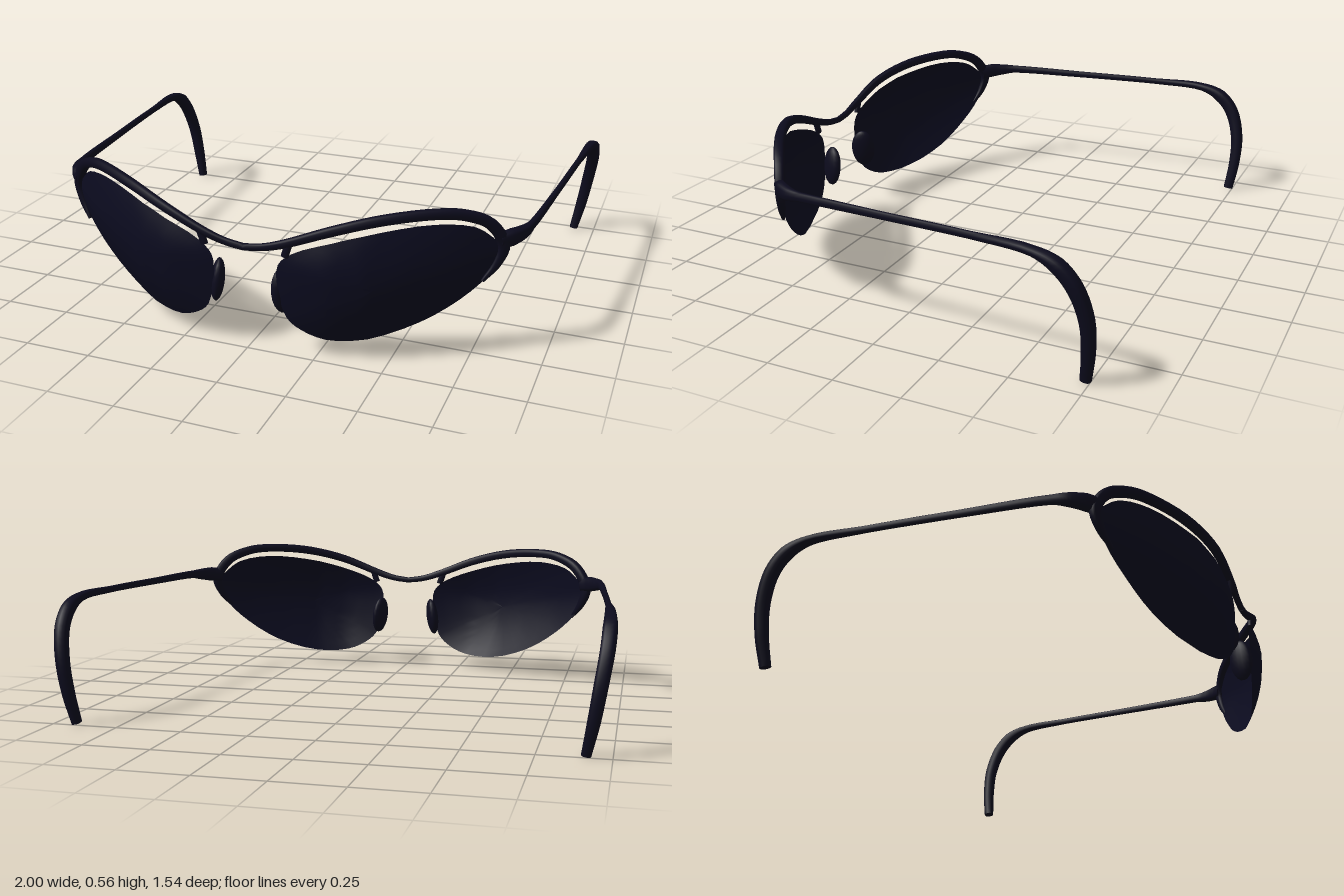
import * as THREE from 'three';

const frameMat = new THREE.MeshStandardMaterial({ name: 'dark frame', color: 0x0c0b1d });
const lensMat = new THREE.MeshStandardMaterial({ name: 'dark lens', color: 0x0b0b1f, side: THREE.DoubleSide });

const V = (x, y, z) => new THREE.Vector3(x, y, z);
// Squares off a circle slightly
const fuller = v => Math.sign(v) * Math.abs(v) ** 0.75;

// Sweeps a rounded section along rows of [x, y, z, halfWidth, halfHeight]; width lies along ref.
function sweep(rows, ref, steps, sides = 12) {
  const path = new THREE.CatmullRomCurve3(rows.map(r => V(r[0], r[1], r[2])), false, 'centripetal');
  const pos = [], idx = [];
  for (let i = 0; i <= steps; i++) {
    const t = i / steps, f = t * (rows.length - 1);
    const k = Math.min(Math.floor(f), rows.length - 2);
    const size = j => THREE.MathUtils.lerp(rows[k][j], rows[k + 1][j], f - k);
    const p = path.getPoint(t), tan = path.getTangent(t);
    const b = ref.clone().addScaledVector(tan, -ref.dot(tan)).normalize();
    const n = tan.clone().cross(b);
    for (let s = 0; s < sides; s++) {
      const a = s / sides * Math.PI * 2;
      const q = p.clone().addScaledVector(b, fuller(Math.cos(a)) * size(3))
        .addScaledVector(n, fuller(Math.sin(a)) * size(4));
      pos.push(q.x, q.y, q.z);
      if (i < steps) {
        const A = i * sides + s, B = i * sides + (s + 1) % sides;
        idx.push(A, B, A + sides, B, B + sides, A + sides);
      }
    }
  }
  // flat end caps with their own vertices
  for (const [ring, flip] of [[0, true], [steps, false]]) {
    const base = pos.length / 3;
    for (let s = 0; s < sides * 3; s++) pos.push(pos[ring * sides * 3 + s]);
    for (let s = 1; s < sides - 1; s++) {
      idx.push(base, base + (flip ? s + 1 : s), base + (flip ? s : s + 1));
    }
  }
  return finish(pos, idx);
}

function finish(pos, idx) {
  const g = new THREE.BufferGeometry();
  g.setAttribute('position', new THREE.Float32BufferAttribute(pos, 3));
  g.setIndex(idx);
  g.computeVertexNormals();
  return g;
}

// Mirrored copy across x = 0 with the corner order restored
function mirrored(geo) {
  const g = geo.clone().scale(-1, 1, 1), ix = g.index.array;
  for (let i = 0; i < ix.length; i += 3) [ix[i + 1], ix[i + 2]] = [ix[i + 2], ix[i + 1]];
  return g;
}

// Wrap of the front: depth of the brow line at a given x
const WRAP = [[0, 0.755], [0.15, 0.755], [0.3, 0.74], [0.42, 0.703], [0.55, 0.637],
  [0.63, 0.592], [0.7, 0.55], [0.8, 0.482], [0.86, 0.445]];
function wrapZ(x) {
  let k = 0;
  while (k < WRAP.length - 2 && x > WRAP[k + 1][0]) k++;
  const [a, b] = [WRAP[k], WRAP[k + 1]];
  return THREE.MathUtils.lerp(a[1], b[1], (x - a[0]) / (b[0] - a[0]));
}

// Lens: rings from the middle out to a rounded outline, bulging forward and curling back at the bottom
function lensGeometry() {
  const outline = [[0.79, 0.455], [0.74, 0.492], [0.63, 0.51], [0.47, 0.492], [0.31, 0.45], [0.175, 0.397],
    [0.125, 0.35], [0.12, 0.27], [0.15, 0.147], [0.2, 0.1], [0.28, 0.067], [0.417, 0.067],
    [0.58, 0.125], [0.71, 0.215], [0.79, 0.3], [0.835, 0.39]];
  const curve = new THREE.CatmullRomCurve3(outline.map(([x, y]) => V(x, y, 0)), true, 'centripetal');
  const n = 48, rings = 8, cx = 0.45, cy = 0.29, pos = [], idx = [];
  for (let r = 0; r <= rings; r++) {
    for (let i = 0; i < n; i++) {
      const p = curve.getPoint(i / n), f = Math.max(r / rings, 0.001);
      const x = cx + (p.x - cx) * f, y = cy + (p.y - cy) * f;
      pos.push(x, y, wrapZ(x) + 0.034 * (1 - f * f) - 1.1 * x * Math.max(0, 0.4 - y) ** 2);
      if (r < rings) {
        const A = r * n + i, B = r * n + (i + 1) % n;
        idx.push(A, A + n, B, B, A + n, B + n);
      }
    }
  }
  return finish(pos, idx);
}

export function createModel() {
  const group = new THREE.Group();
  group.name = 'sunglasses';
  const pair = (name, geo, mat) => {
    [['left', geo], ['right', mirrored(geo)]].forEach(([side, g]) => {
      const m = new THREE.Mesh(g, mat);
      m.name = side + name;
      group.add(m);
    });
  };

  // Brow bar, from the bridge over the lens and down its outer edge
  const brow = [[0, 0.397, 0.011, 0.012], [0.07, 0.407, 0.011, 0.013], [0.15, 0.432, 0.013, 0.015],
    [0.31, 0.494, 0.016, 0.017], [0.47, 0.535, 0.018, 0.018], [0.63, 0.548, 0.019, 0.018],
    [0.71, 0.538, 0.019, 0.019], [0.79, 0.497, 0.019, 0.021], [0.834, 0.415, 0.018, 0.022],
    [0.815, 0.345, 0.014, 0.015], [0.775, 0.285, 0.006, 0.006]];
  pair('BrowBar', sweep(brow.map(([x, y, w, h]) => [x, y, wrapZ(x), w, h]), V(0.5, 0, 0.85), 44), frameMat);

  pair('Lens', lensGeometry(), lensMat);

  // Short post joining the bar and the lens
  pair('LensPost', sweep([[0.168, 0.44, 0.755, 0.01, 0.014], [0.15, 0.385, 0.755, 0.009, 0.014]],
    V(0, 0, 1), 2, 8), frameMat);

  // Nose pad: oval turned inward behind the lens edge
  const pad = new THREE.SphereGeometry(1, 16, 10);
  pad.scale(0.025, 0.082, 0.05).rotateZ(0.12).rotateY(-0.4).translate(0.124, 0.235, 0.715);
  pair('NosePad', pad, frameMat);

  // Temple arm: broad hinge end, slim bar, hooked ear tip
  const arm = [[0.82, 0.43, 0.47, 0.02, 0.03], [0.855, 0.436, 0.435, 0.022, 0.031], [0.885, 0.44, 0.385, 0.02, 0.024],
    [0.9, 0.444, 0.33, 0.013, 0.017], [0.93, 0.449, 0, 0.01, 0.014], [0.956, 0.453, -0.35, 0.01, 0.013],
    [0.972, 0.448, -0.57, 0.02, 0.016], [0.975, 0.415, -0.653, 0.025, 0.026], [0.971, 0.35, -0.71, 0.025, 0.027],
    [0.955, 0.24, -0.745, 0.024, 0.025], [0.936, 0.12, -0.747, 0.022, 0.023], [0.914, 0.006, -0.733, 0.017, 0.02]];
  pair('TempleArm', sweep(arm, V(1, 0, 0), 55), frameMat);

  return group;
}
